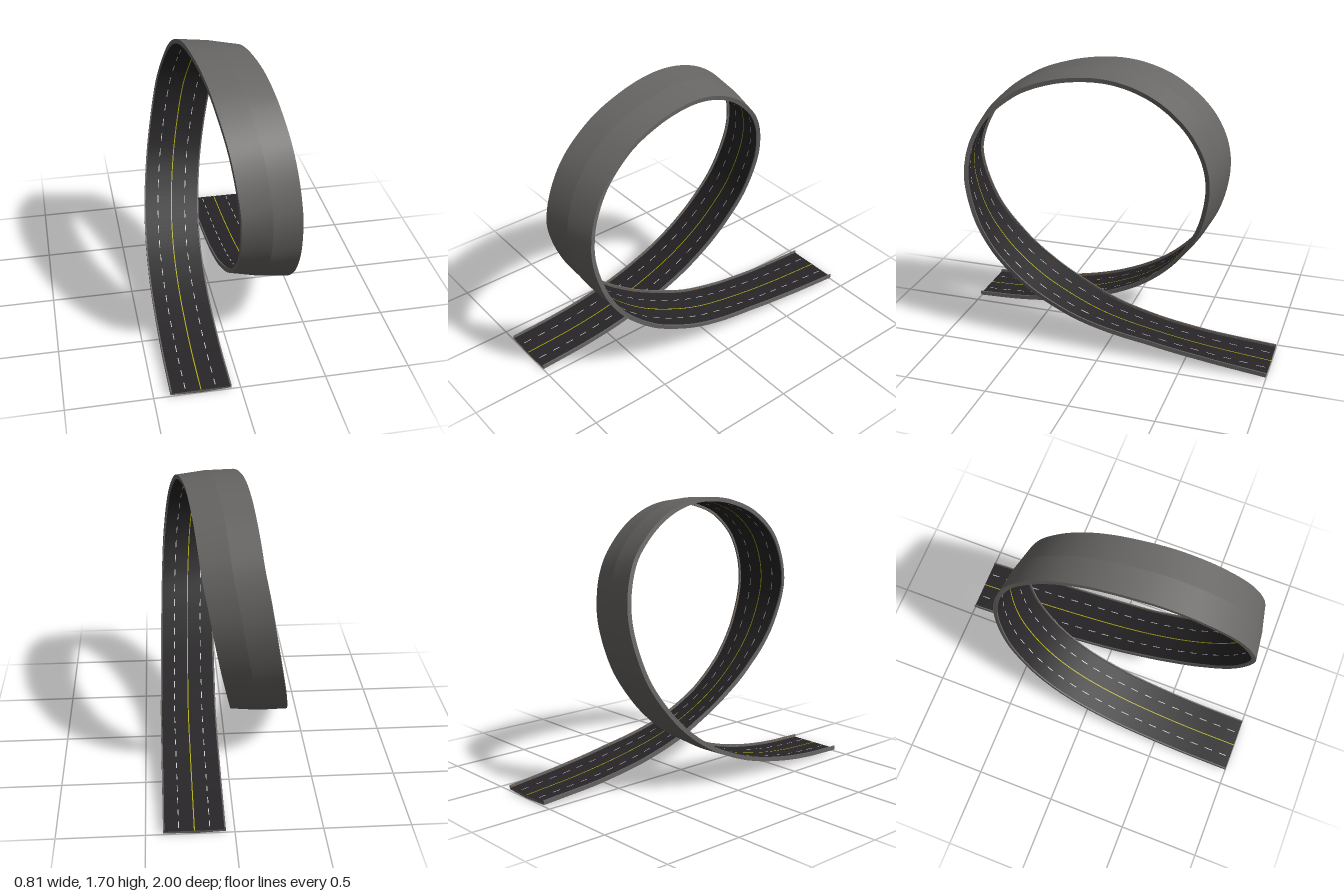
import * as THREE from 'three';

// Centre line of the road: x, y, z and bank (how far the left edge leans inward)
const PATH = [
  [-0.23, 0.02, 1.0, 0], [-0.23, 0.034, 0.7, 0], [-0.228, 0.065, 0.46, 0], [-0.225, 0.115, 0.24, 0.01],
  [-0.22, 0.175, 0.07, 0.02], [-0.21, 0.264, -0.11, 0.03], [-0.193, 0.385, -0.272, 0.05], [-0.169, 0.53, -0.402, 0.07],
  [-0.133, 0.73, -0.518, 0.1], [-0.085, 1.0, -0.58, 0.14], [-0.055, 1.18, -0.565, 0.18], [-0.022, 1.35, -0.495, 0.2],
  [-0.005, 1.475, -0.39, 0.19], [0.012, 1.578, -0.25, 0.17], [0.03, 1.645, -0.08, 0.14], [0.048, 1.667, 0.1, 0.11],
  [0.078, 1.64, 0.34, 0.08], [0.105, 1.553, 0.57, 0.08], [0.14, 1.375, 0.778, 0.13], [0.172, 1.1, 0.885, 0.17],
  [0.193, 0.8, 0.82, 0.03], [0.205, 0.575, 0.672, -0.11], [0.214, 0.385, 0.455, -0.16],
  [0.221, 0.245, 0.2, -0.12], [0.226, 0.17, 0.0, -0.03], [0.227, 0.107, -0.28, 0.05],
  [0.227, 0.058, -0.6, 0.05], [0.227, 0.02, -1.0, 0],
];
const curve = new THREE.CatmullRomCurve3(PATH.map(p => new THREE.Vector3(p[0], p[1], p[2])));
curve.arcLengthDivisions = 1000;
const SEGMENTS = 240;

// Point, sideways axis and surface normal at a fraction u of the road's length
function frameAt(u) {
  const k = curve.getUtoTmapping(u) * (PATH.length - 1);
  const i = Math.min(Math.floor(k), PATH.length - 2);
  const bank = THREE.MathUtils.lerp(PATH[i][3], PATH[i + 1][3], k - i);
  const tangent = curve.getTangentAt(u);
  const side = new THREE.Vector3(1, 0, 0);
  side.addScaledVector(tangent, -side.dot(tangent)).normalize();
  side.applyAxisAngle(tangent, -bank);
  const up = new THREE.Vector3().crossVectors(side, tangent);
  return { point: curve.getPointAt(u), side, up };
}

const place = (f, [s, h]) => f.point.clone().addScaledVector(f.side, s).addScaledVector(f.up, h);

// Sweep an open section along the road; each section edge keeps its own crease
function sweep(section, ranges) {
  const positions = [], indices = [];
  for (const [u0, u1, steps] of ranges) {
    const frames = Array.from({ length: steps + 1 }, (_, i) => frameAt(u0 + (u1 - u0) * i / steps));
    for (let e = 0; e < section.length - 1; e++) {
      const base = positions.length / 3;
      for (const f of frames) {
        positions.push(...place(f, section[e]).toArray(), ...place(f, section[e + 1]).toArray());
      }
      for (let i = 0; i < steps; i++) {
        const a = base + i * 2;
        indices.push(a, a + 1, a + 3, a, a + 3, a + 2);
      }
    }
  }
  const geometry = new THREE.BufferGeometry();
  geometry.setAttribute('position', new THREE.Float32BufferAttribute(positions, 3));
  geometry.setIndex(indices);
  geometry.computeVertexNormals();
  return geometry;
}

// Flat cap closing the deck at one end
function endCap(outline, u) {
  const geometry = new THREE.ShapeGeometry(new THREE.Shape(outline.map(p => new THREE.Vector2(...p))));
  const f = frameAt(u), pos = geometry.attributes.position;
  for (let i = 0; i < pos.count; i++) {
    pos.setXYZ(i, ...place(f, [pos.getX(i), pos.getY(i)]).toArray());
  }
  geometry.computeVertexNormals();
  return geometry;
}

// Evenly spaced short stretches of road
const dashes = (count, fill) => Array.from({ length: count }, (_, i) =>
  [(i + 0.5 - fill / 2) / count, (i + 0.5 + fill / 2) / count, 2]);

export function createModel() {
  const group = new THREE.Group();
  const add = (name, geometry, color) => {
    const material = new THREE.MeshStandardMaterial({ color, side: THREE.DoubleSide });
    const mesh = new THREE.Mesh(geometry, material);
    mesh.name = name;
    group.add(mesh);
  };
  const whole = [[0, 1, SEGMENTS]];
  const W = 0.175, I = 0.167, H = 0.016;

  // Concrete deck: low kerbs and a shallow V underneath
  const deck = [[I, 0], [I, H], [W, H], [W, -0.01], [0, -0.019], [-W, -0.01], [-W, H], [-I, H], [-I, 0]];
  add('deck', sweep(deck, whole), 0x686664);
  add('startCap', endCap(deck, 0), 0x686664);
  add('endCap', endCap(deck, 1), 0x686664);

  // Asphalt and painted lines
  add('roadSurface', sweep([[-I, 0], [I, 0]], whole), 0x272527);
  add('centreLine', sweep([[-0.003, 0.002], [0.003, 0.002]], whole), 0xb4b010);
  for (const [name, s] of [['rightLaneDashes', -0.087], ['leftLaneDashes', 0.087]]) {
    add(name, sweep([[s - 0.0025, 0.002], [s + 0.0025, 0.002]], dashes(66, 0.5)), 0xdddddd);
  }

  // Small reflectors along the inner kerb faces
  const R = I - 0.001;
  add('rightReflectors', sweep([[-R, 0.012], [-R, 0.007]], dashes(120, 0.15)), 0xc87828);
  add('leftReflectors', sweep([[R, 0.007], [R, 0.012]], dashes(120, 0.15)), 0xc87828);
  return group;
}
